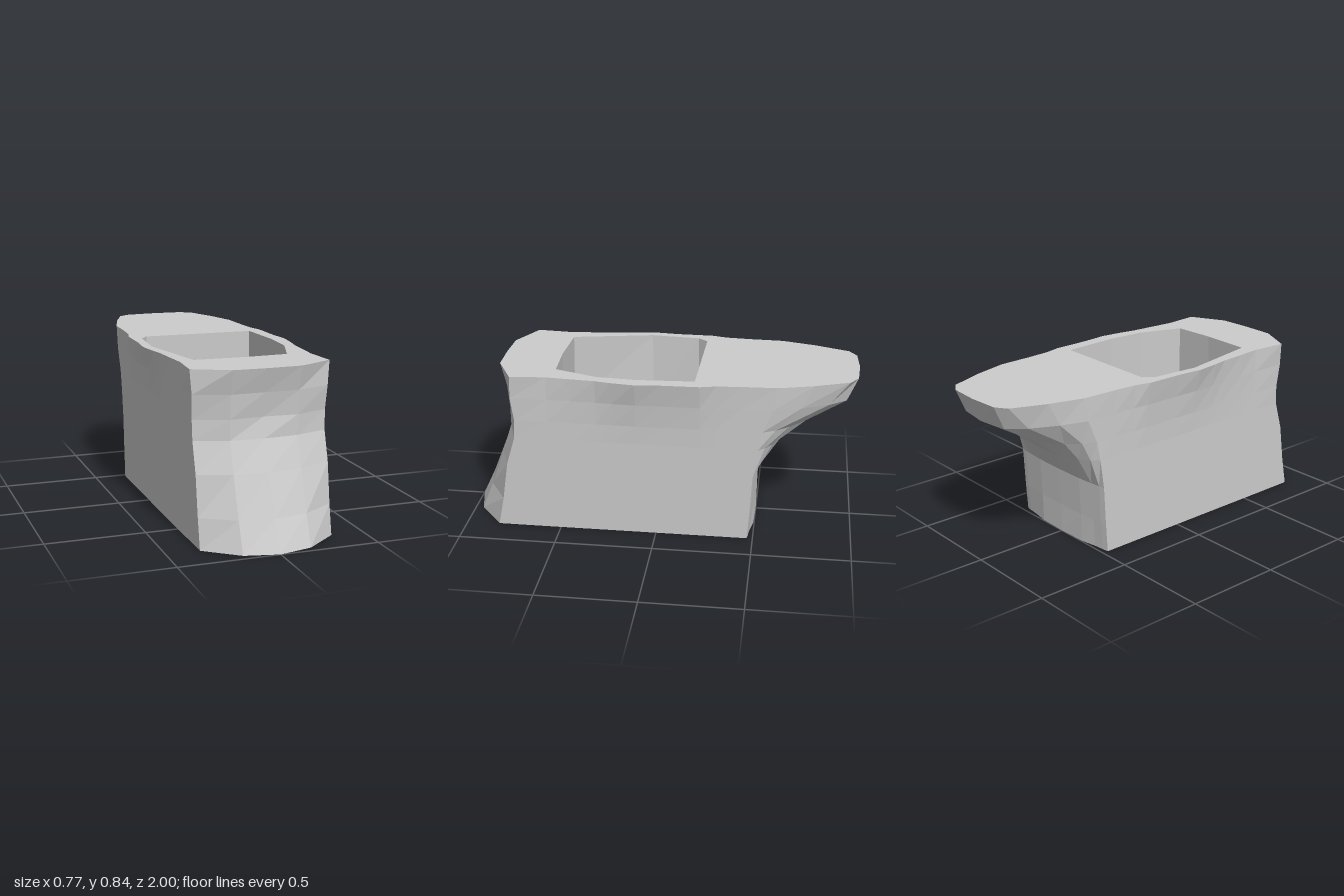
import * as THREE from 'three';

const material = new THREE.MeshStandardMaterial({ color: 0xcccccc, flatShading: true });
const H = 0.84;

// Body levels: y, front centre z, front middle z, front corner z, back corner z,
// back shoulder x, back shoulder z, back centre z, side bulge
const LEVELS = [
  [0, 1.0, 0.96, 0.83, -0.47, 0.25, -0.48, -0.5, 0],
  [0.15, 0.93, 0.9, 0.8, -0.48, 0.25, -0.49, -0.5, 0],
  [0.35, 0.85, 0.83, 0.77, -0.49, 0.25, -0.5, -0.51, 0],
  [0.5, 0.79, 0.78, 0.725, -0.51, 0.25, -0.58, -0.63, 0],
  [0.6, 0.77, 0.78, 0.72, -0.53, 0.25, -0.66, -0.76, 0.1],
  [0.72, 0.79, 0.79, 0.735, -0.58, 0.23, -0.85, -0.96, 0.4],
  [H, 0.825, 0.82, 0.73, -0.6, 0.22, -0.95, -1.0, 1],
];

// Side points of the body: z and how far the rim bulges out there
const SIDES = [[0.55, 0], [0.43, 0.01], [0.3, 0.02], [0.22, 0.035], [0.1, 0.05], [-0.03, 0.038], [-0.22, 0.035], [-0.3, 0.015], [-0.42, 0.006]];

// One closed outline, running front, left, back, right
function outline([y, front, mid, corner, back, sx, sz, rear, bulge]) {
  const half = [
    [0.17, mid], [0.335 + 0.015 * bulge, corner],
    ...SIDES.map(([z, b]) => [0.336 + b * bulge, z]),
    [0.336, back], [(0.336 + sx) / 2 + 0.01, (back + sz) / 2], [sx, sz], [0.16, rear * 0.8 + sz * 0.2],
  ];
  const mirrored = half.map(([x, z]) => [-x, z]).reverse();
  return [[0, front], ...half, [0, rear], ...mirrored].map(([x, z]) => new THREE.Vector3(x, y, z));
}

// Skin between successive outlines with equal point counts
function loft(rings) {
  const n = rings[0].length;
  const index = [];
  for (let r = 0; r < rings.length - 1; r++) {
    for (let i = 0; i < n; i++) {
      const a = r * n + i, b = r * n + (i + 1) % n;
      index.push(a, b, b + n, a, b + n, a + n);
    }
  }
  const geometry = new THREE.BufferGeometry().setFromPoints(rings.flat());
  geometry.setIndex(index);
  const flat = geometry.toNonIndexed();
  flat.computeVertexNormals();
  return flat;
}

// Flat horizontal face, turned up (1) or down (-1), with an optional hole
function cap(ring, y, up, hole) {
  const flat = (points) => points.map((p) => new THREE.Vector2(p.x, -up * p.z));
  const shape = new THREE.Shape(flat(ring));
  if (hole) shape.holes.push(new THREE.Path(flat(hole)));
  return new THREE.ShapeGeometry(shape).rotateX(-up * Math.PI / 2).translate(0, y, 0);
}

export function createModel() {
  const group = new THREE.Group();
  const add = (name, geometry) => {
    const mesh = new THREE.Mesh(geometry, material);
    mesh.name = name;
    group.add(mesh);
  };

  const rings = LEVELS.map(outline);
  const rim = rings[rings.length - 1];

  // Cavity opening, widening slightly towards its floor
  const opening = [[0.22, 0.52], [0.3, 0.3], [0.315, 0.1], [0.3, -0.19], [-0.28, -0.2],
    [-0.32, -0.15], [-0.34, 0.1], [-0.26, 0.52], [0, 0.53]];
  const cavityRing = (y, grow) => opening.map(([x, z]) =>
    new THREE.Vector3(THREE.MathUtils.clamp(x * grow, -0.328, 0.328), y, 0.16 + (z - 0.16) * grow));
  const mouth = opening.map(([x, z]) => new THREE.Vector3(x, H, z));
  const floor = cavityRing(0.08, 1.02);

  add('outerBody', loft(rings));
  add('topRim', cap(rim, H, 1, mouth));
  add('base', cap(rings[0], 0, -1));
  add('cavityWall', loft([mouth, cavityRing(0.45, 1.02), floor]));
  add('cavityFloor', cap(floor, 0.08, 1));
  return group;
}
